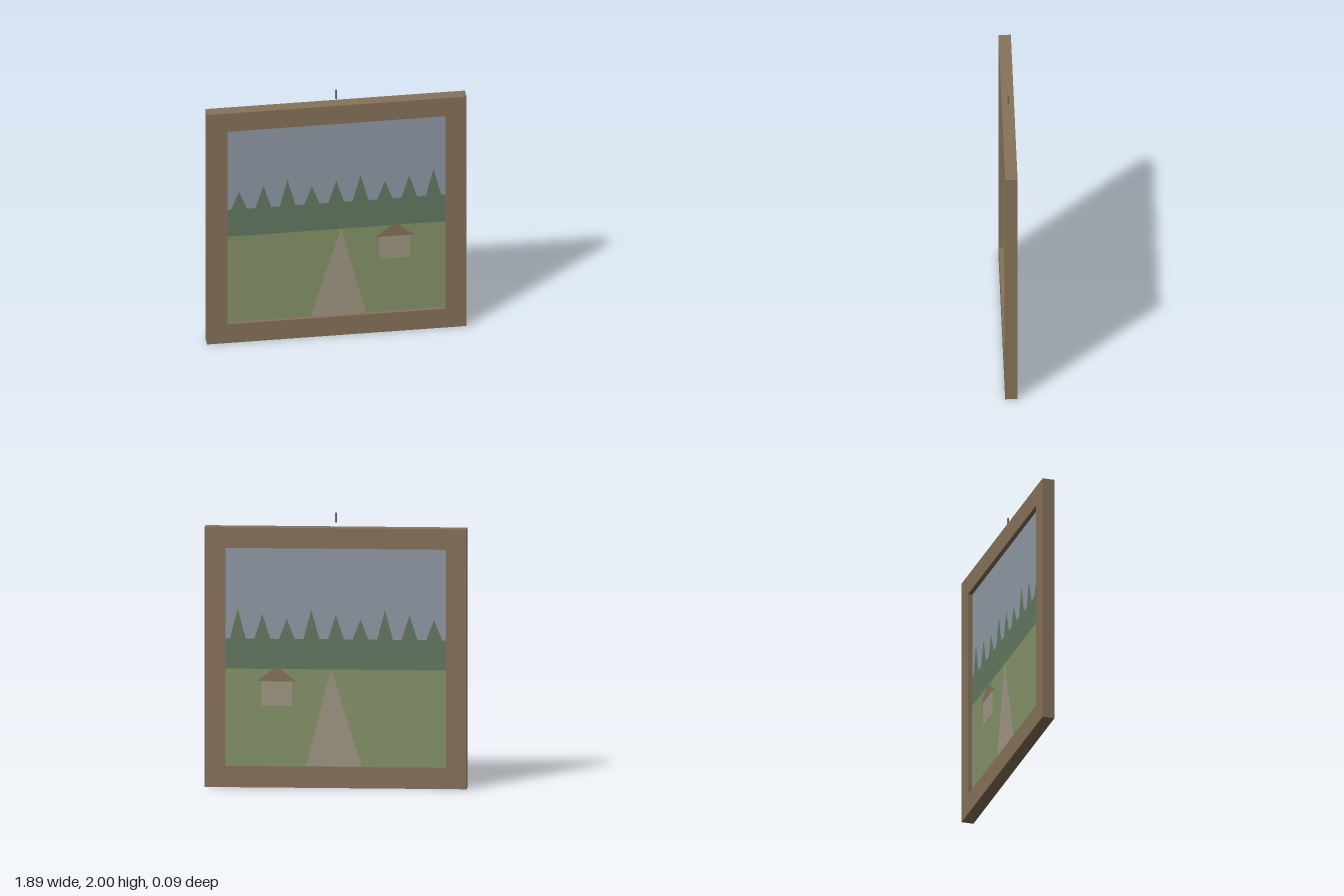
import * as THREE from 'three';

const material = (name, color) => {
  const m = new THREE.MeshStandardMaterial({ color });
  m.name = name;
  return m;
};

const outline = (points) => new THREE.Shape(points.map(([x, y]) => new THREE.Vector2(x, y)));
const rect = (x0, y0, x1, y1) => [[x0, y0], [x1, y0], [x1, y1], [x0, y1]];

export function createModel() {
  const group = new THREE.Group();
  const wood = material('wood', 0x87735a);
  const sky = material('sky', 0x919aa6);
  const forest = material('forest', 0x647a62);
  const grass = material('grass', 0x869469);
  const pale = material('pale stone', 0xa19884);

  // Extrude a shape symmetrically about z = 0, so it shows on both faces
  const slab = (name, shape, half, mat) => {
    const geo = new THREE.ExtrudeGeometry(shape, { depth: half * 2, bevelEnabled: false });
    geo.translate(0, 0, -half);
    const mesh = new THREE.Mesh(geo, mat);
    mesh.name = name;
    group.add(mesh);
  };

  // Square frame with its opening
  const inX = 0.795, inBottom = 0.155, inTop = 1.745;
  const frame = outline(rect(-0.945, 0, 0.945, 1.895));
  frame.holes.push(new THREE.Path(outline(rect(-inX, inBottom, inX, inTop)).getPoints()));
  slab('frame', frame, 0.045, wood);

  // Picture panel, with each painted layer standing slightly proud
  slab('skyPanel', outline(rect(-inX, inBottom, inX, inTop)), 0.012, sky);
  slab('meadow', outline(rect(-inX, inBottom, inX, 0.86)), 0.0135, grass);

  // Tree line: a band with nine pointed tops in three repeating heights
  const trees = [[-inX, 0.86], [inX, 0.86], [inX, 1.08]];
  for (let i = 4; i >= -4; i--) {
    const x = i * 0.177;
    const peak = 1.225 + ((i + 4) % 3) * 0.035;
    trees.push([x + 0.057, 1.08], [x, peak], [x - 0.057, 1.08]);
  }
  trees.push([-inX, 1.08]);
  slab('treeLine', outline(trees), 0.0135, forest);

  // Path and cottage
  slab('path', outline([[-0.185, inBottom], [0.215, inBottom], [0.035, 0.865]]), 0.015, pale);
  slab('cottageWall', outline(rect(0.315, 0.59, 0.535, 0.77)), 0.015, pale);
  slab('cottageRoof', outline([[0.285, 0.77], [0.57, 0.77], [0.428, 0.88]]), 0.015, wood);

  // Hanging pin above the frame
  const pin = new THREE.Mesh(new THREE.CylinderGeometry(0.009, 0.009, 0.068, 8), wood);
  pin.name = 'hangingPin';
  pin.position.y = 1.966;
  group.add(pin);

  return group;
}
